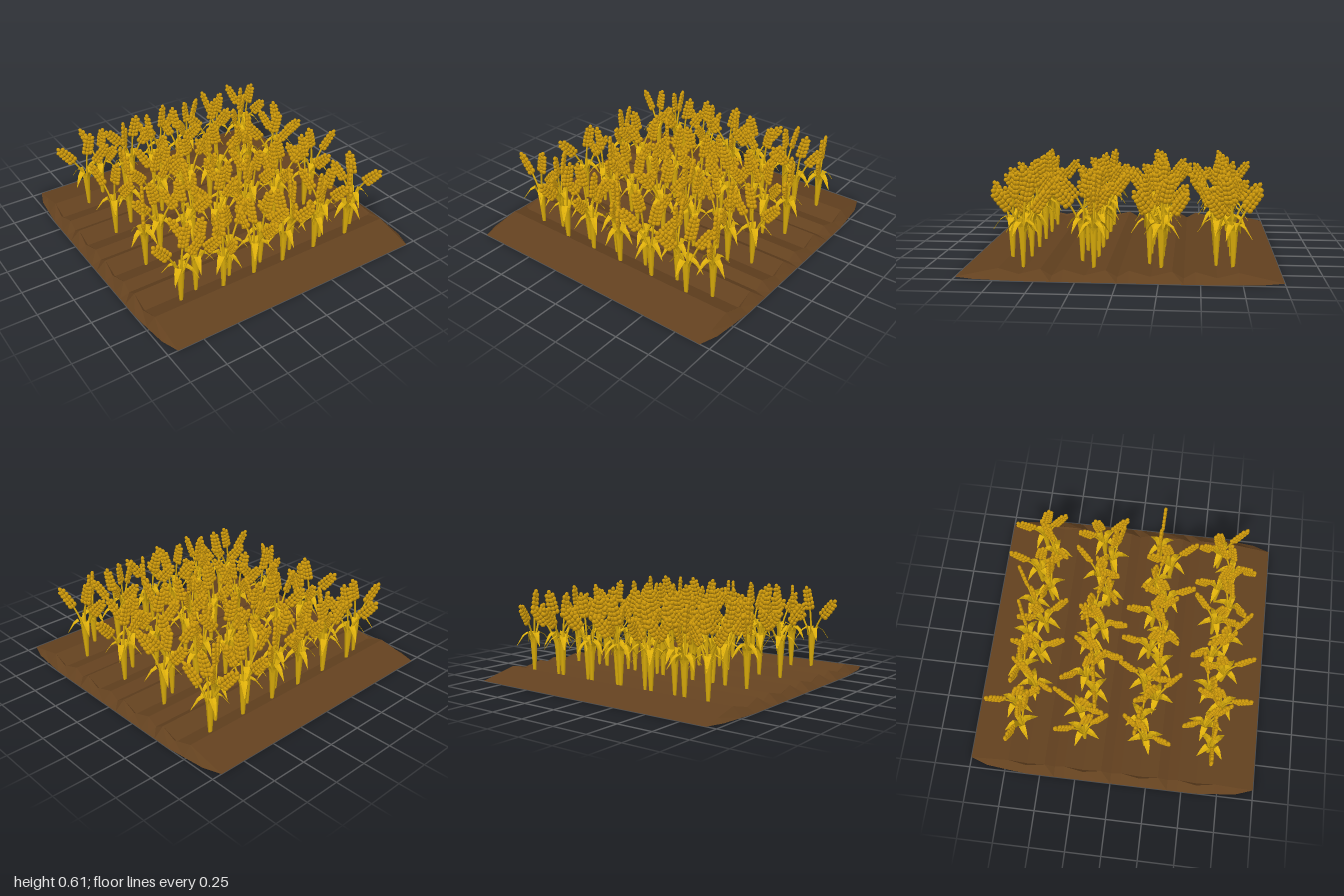
import * as THREE from 'three';
import { mergeGeometries } from 'three/addons/utils/BufferGeometryUtils.js';

const soil = new THREE.MeshStandardMaterial({ color: 0x63411f, side: THREE.DoubleSide });
soil.name = 'soil brown';
const straw = new THREE.MeshStandardMaterial({ color: 0xdcae0a, side: THREE.DoubleSide });
straw.name = 'straw gold';
const grain = new THREE.MeshStandardMaterial({ color: 0xd09b0a });
grain.name = 'grain gold';

// Strip surface between rows of points, with flat facets
function loft(rows) {
  const pos = [];
  for (let i = 0; i < rows.length - 1; i++) {
    for (let j = 0; j < rows[i].length - 1; j++) {
      const a = rows[i][j], b = rows[i][j + 1], c = rows[i + 1][j + 1], d = rows[i + 1][j];
      pos.push(...a, ...b, ...c, ...a, ...c, ...d);
    }
  }
  const g = new THREE.BufferGeometry();
  g.setAttribute('position', new THREE.Float32BufferAttribute(pos, 3));
  g.computeVertexNormals();
  return g;
}

// Ploughed sheet: ridges and furrows along x, with ends sloping to the ground.
// Each station is z, height and half length at the ground; planted furrows have a raised lip at the ends.
function soilGeometry() {
  const half = [[1, 0, 0.93], [0.88, 0.027, 0.972], [0.73, 0.06, 0.988], [0.6, 0.015, 1], [0.47, 0.06, 1],
    [0.4, 0.02, 1], [0.33, 0.06, 1], [0.2, 0.015, 1], [0.07, 0.06, 1]];
  const stations = [...half, [0, 0.02, 1], ...half.map(([z, y, w]) => [-z, y, w]).reverse()];
  return loft(stations.map(([z, y, w]) => {
    const lip = y === 0.015 ? [0.947, 0.03] : [0.931, y];
    return [[-w, 0, z], [-lip[0], lip[1], z], [-0.93, y, z], [0.93, y, z], [lip[0], lip[1], z], [w, 0, z]];
  }));
}

// Ears fan out in one plane: stem bend, base and tip as [x, y]
const EARS = [
  { bend: [0.03, 0.31], base: [0.075, 0.395], tip: [0.187, 0.53] },
  { bend: [-0.01, 0.34], base: [-0.02, 0.44], tip: [-0.058, 0.613] },
  { bend: [-0.03, 0.28], base: [-0.072, 0.37], tip: [-0.178, 0.5] },
];

// Flared stalk with thin stems running up to each ear
function stalkGeometry() {
  const parts = [new THREE.CylinderGeometry(0.027, 0.011, 0.25, 6, 1, true).translate(0, 0.145, 0)];
  for (const { bend, base, tip } of EARS) {
    const pts = [[bend[0] * 0.3, 0.2], bend, base, [(base[0] + tip[0]) / 2, (base[1] + tip[1]) / 2]];
    const curve = new THREE.CatmullRomCurve3(pts.map(([x, y]) => new THREE.Vector3(x, y, 0)));
    parts.push(new THREE.TubeGeometry(curve, 6, 0.007, 5, false));
  }
  return mergeGeometries(parts);
}

// Four folded blades that rise from the stalk and droop to a point
function leafGeometry() {
  const spine = [[0.012, 0.2, 0.01], [0.025, 0.285, 0.018], [0.04, 0.322, 0.022],
    [0.075, 0.3, 0.017], [0.122, 0.235, 0.001]];
  const blade = loft(spine.map(([r, y, w]) => [[r, y, -w], [r, y - 0.005, 0], [r, y, w]]));
  return mergeGeometries([0, 1, 2, 3].map((i) =>
    blade.clone().rotateY(Math.PI / 4 + i * Math.PI / 2)));
}

// Flat ears of plump kernels in herringbone order, narrowing to the tip
function earGeometry() {
  const kernels = [];
  for (const { base, tip } of EARS) {
    const dx = tip[0] - base[0], dy = tip[1] - base[1];
    const length = Math.hypot(dx, dy), tilt = Math.atan2(-dx, dy);
    const rows = 6;
    for (let i = 0; i < rows; i++) {
      const t = i / (rows - 1);
      const spread = 0.025 * (1 - 0.5 * Math.max(0, t - 0.4));
      for (const side of [-1, 0, 1]) {
        if (i === rows - 1 && side) continue;
        const k = new THREE.SphereGeometry(1, 6, 4).scale(0.0155, 0.0185, 0.014);
        k.rotateZ(-side * 0.5);
        k.translate(side * spread, 0.012 + t * (length - 0.03) + (side ? 0.006 : 0), 0);
        k.rotateZ(tilt).translate(base[0], base[1], 0);
        kernels.push(k);
      }
    }
  }
  return mergeGeometries(kernels);
}

// Planting grid: columns share x, plants alternate about each row's centre line
const COLUMNS = [-0.7, -0.56, -0.41, -0.3, -0.17, -0.05, 0.065, 0.2, 0.33, 0.465, 0.61, 0.745];
const ROWS = [
  { z: -0.65, shift: -0.05, turn: [195, 250, 125, 190, 85, 155, 65, 325, 185, 265, 140, 250] },
  { z: -0.217, shift: -0.04, turn: [247, 290, 170, 230, 110, 345, 110, 20, 330, 300, 205, 70] },
  { z: 0.21, shift: -0.045, turn: [118, 10, 55, 283, 180, 260, 145, 250, 90, 20, 72, 3] },
  { z: 0.661, shift: -0.048, turn: [182, 240, 100, 340, 80, 235, 50, 300, 150, 245, 130, 65] },
];

export function createModel() {
  const model = new THREE.Group();
  model.name = 'cropField';
  const add = (parent, name, geometry, material) => {
    const mesh = new THREE.Mesh(geometry, material);
    mesh.name = name;
    parent.add(mesh);
  };
  add(model, 'ploughedSoil', soilGeometry(), soil);

  const stalks = stalkGeometry(), leaves = leafGeometry(), ears = earGeometry();
  for (const { z, shift, turn } of ROWS) {
    COLUMNS.forEach((x, i) => {
      const plant = new THREE.Group();
      plant.name = 'cerealPlant';
      add(plant, 'stalks', stalks, straw);
      add(plant, 'leaves', leaves, straw);
      add(plant, 'ears', ears, grain);
      const offset = i === 0 ? 0 : i % 2 ? shift : -shift;
      plant.position.set(x, 0, z + offset);
      plant.rotation.y = -THREE.MathUtils.degToRad(turn[i]);
      model.add(plant);
    });
  }
  return model;
}
